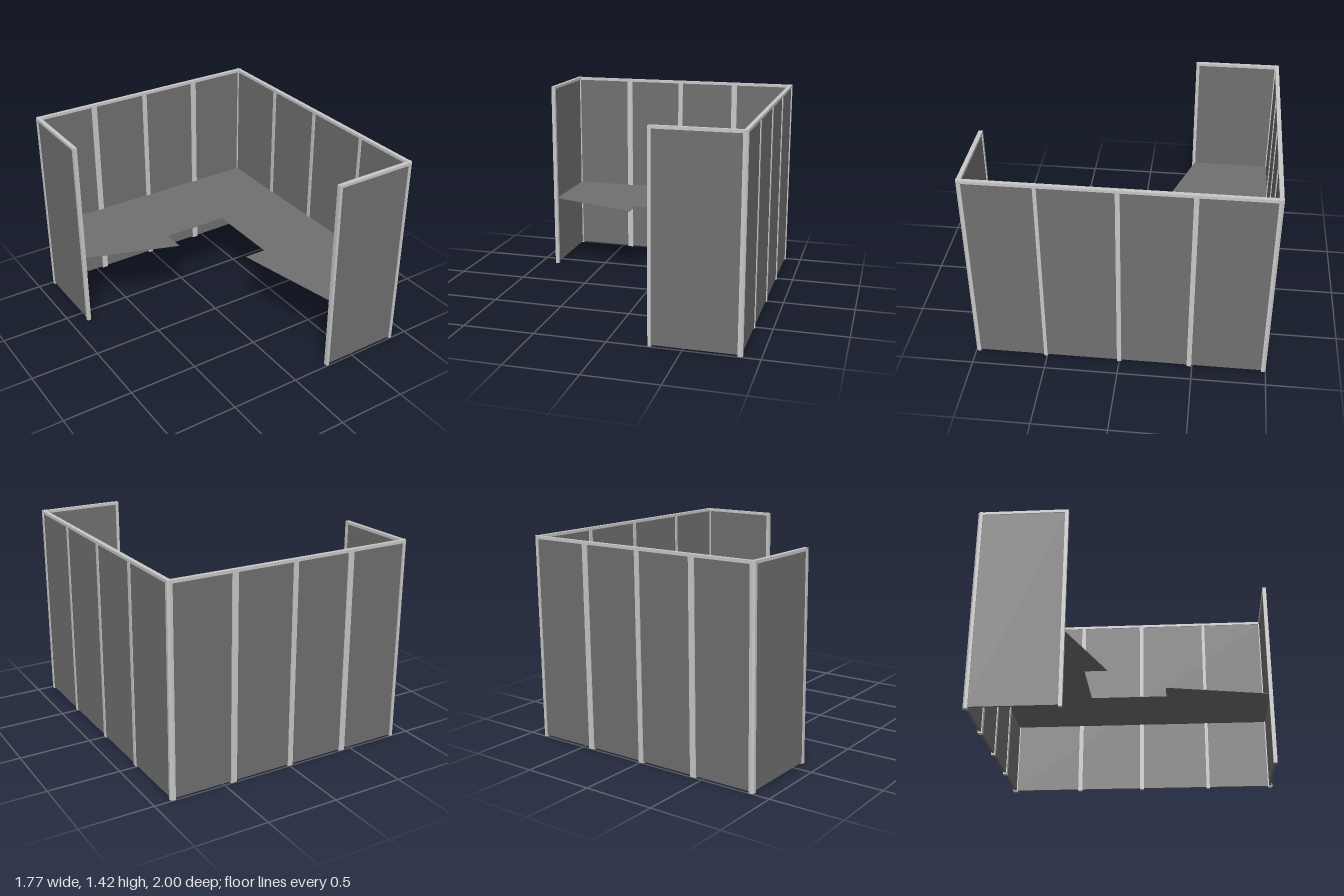
import * as THREE from 'three';

const panelGrey = new THREE.MeshStandardMaterial({ color: 0x707070, side: THREE.DoubleSide });
panelGrey.name = 'panel grey';
const trimGrey = new THREE.MeshStandardMaterial({ color: 0xc8c8c8 });
trimGrey.name = 'trim grey';

const TOP = 1.42, RAIL = 0.02, BASE = 0.01, THICK = 0.028;

// Wall lines: centre of the thin side, ends along the run, and post [position, width] pairs
const BACK = -0.985, FRONT = 0.983, LEFT = -0.868, RIGHT = 0.868;
const walls = [
  { name: 'backWall', axis: 'x', at: BACK, from: LEFT, to: RIGHT, posts: [[-0.43, 0.043], [-0.006, 0.036], [0.43, 0.043]] },
  { name: 'rightWall', axis: 'z', at: RIGHT, from: BACK, to: FRONT, posts: [[-0.48, 0.032], [0, 0.03], [0.51, 0.024]] },
  { name: 'leftWall', axis: 'z', at: LEFT, from: BACK, to: -0.4, posts: [[-0.4, 0.024]] },
  { name: 'frontWall', axis: 'x', at: FRONT, from: 0.285, to: RIGHT, posts: [[0.285, 0.022]] },
];

function box(name, material, w, h, d, x, y, z) {
  const mesh = new THREE.Mesh(new THREE.BoxGeometry(w, h, d), material);
  mesh.name = name;
  mesh.position.set(x, y, z);
  return mesh;
}

// A box measured along the wall's own run
function wallBox(wall, name, material, along, length, thick, low, high) {
  const y = (low + high) / 2, h = high - low;
  return wall.axis === 'x'
    ? box(name, material, length, h, thick, along, y, wall.at)
    : box(name, material, thick, h, length, wall.at, y, along);
}

function makeWall(wall) {
  const group = new THREE.Group();
  group.name = wall.name;
  const mid = (wall.from + wall.to) / 2, length = wall.to - wall.from;
  group.add(wallBox(wall, 'panel', panelGrey, mid, length, 0.016, BASE, TOP - RAIL));
  group.add(wallBox(wall, 'topRail', trimGrey, mid, length, THICK, TOP - RAIL, TOP));
  for (const [along, width] of wall.posts) {
    group.add(wallBox(wall, 'post', trimGrey, along, width, THICK, 0, TOP - 0.001));
  }
  return group;
}

// Corner post with its outer edge cut off; sx and sz point outwards
function cornerPost(x, z, sx, sz) {
  const r = 0.016, c = 0.004;
  const corners = [[-r, -r], [r, -r], [r, c], [c, r], [-r, r]];
  const shape = new THREE.Shape(corners.map(([a, b]) => new THREE.Vector2(a * sx, -b * sz)));
  const geometry = new THREE.ExtrudeGeometry(shape, { depth: TOP + 0.001, bevelEnabled: false });
  geometry.rotateX(-Math.PI / 2);
  const mesh = new THREE.Mesh(geometry, trimGrey);
  mesh.name = 'cornerPost';
  mesh.position.set(x, 0, z);
  return mesh;
}

// Thin L-shaped worktop with a cut-out for the seat
function makeDesk() {
  const outline = [
    [LEFT, BACK], [RIGHT, BACK], [RIGHT, FRONT], [0.285, FRONT], [0.125, 0.215],
    [0.285, 0.215], [0.285, -0.34], [-0.2, -0.34], [-0.2, -0.18], [LEFT, -0.41],
  ];
  const shape = new THREE.Shape(outline.map(([x, z]) => new THREE.Vector2(x, -z)));
  const geometry = new THREE.ExtrudeGeometry(shape, { depth: 0.004, bevelEnabled: false });
  geometry.rotateX(-Math.PI / 2);
  const desk = new THREE.Mesh(geometry, panelGrey);
  desk.name = 'desk';
  desk.position.y = 0.533;
  return desk;
}

export function createModel() {
  const model = new THREE.Group();
  model.name = 'officeCubicle';
  for (const wall of walls) model.add(makeWall(wall));
  model.add(cornerPost(LEFT, BACK, -1, -1));
  model.add(cornerPost(RIGHT, BACK, 1, -1));
  model.add(cornerPost(RIGHT, FRONT, 1, 1));
  model.add(makeDesk());
  return model;
}
